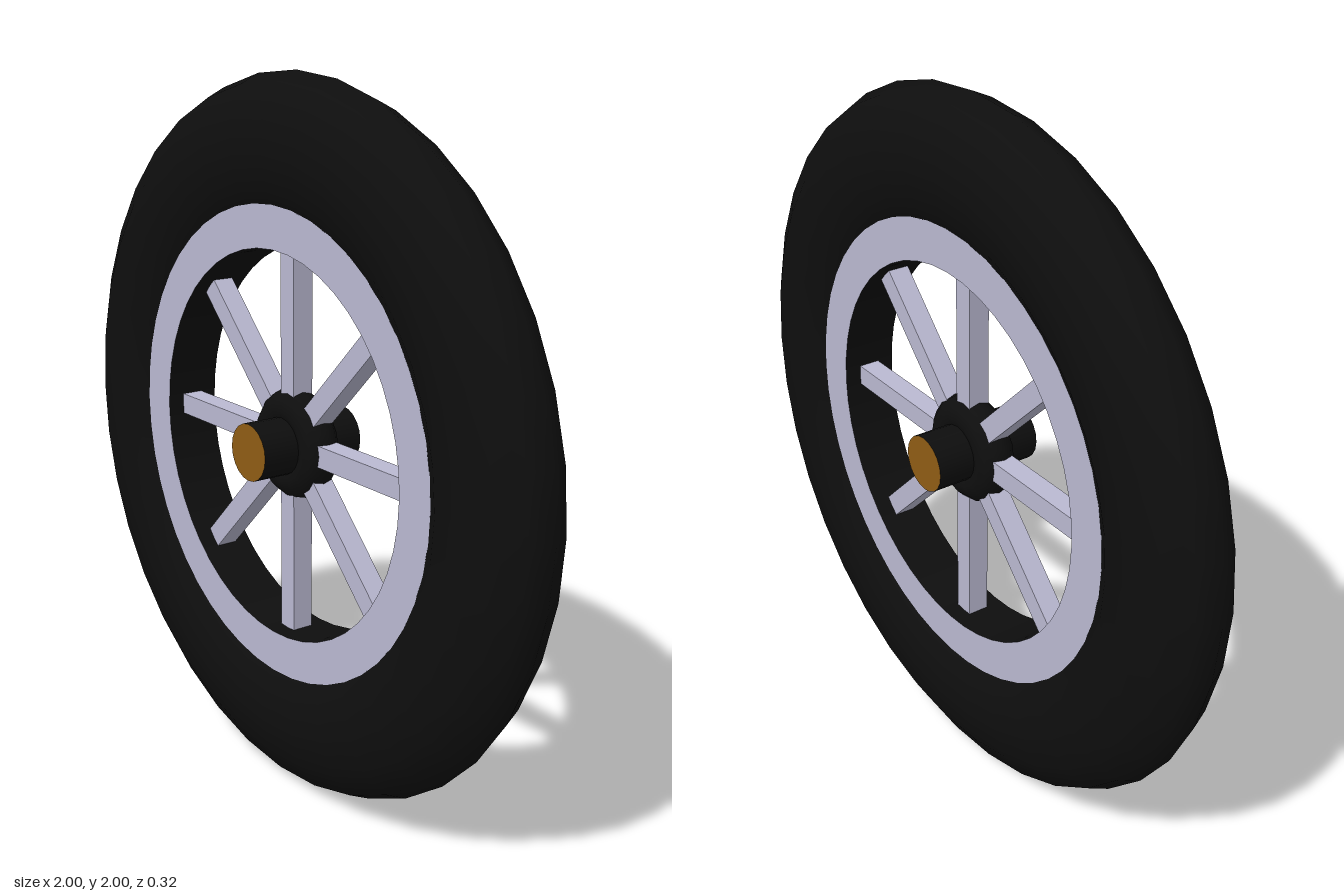
import * as THREE from 'three';

export function createModel() {
  const wheel = new THREE.Group();
  wheel.name = 'wheel';
  wheel.position.y = 1;

  const material = (name, color, side = THREE.FrontSide) => {
    const m = new THREE.MeshStandardMaterial({ color, side });
    m.name = name;
    return m;
  };
  const rubber = material('black rubber', 0x0e0e0e, THREE.DoubleSide);
  const metal = material('pale lilac metal', 0xbab9d1);
  const bronze = material('bronze', 0x8f5c14);

  const add = (name, geometry, mat) => {
    const mesh = new THREE.Mesh(geometry, mat);
    mesh.name = name;
    wheel.add(mesh);
    return mesh;
  };

  // Tyre: a torus flattened along the axle
  add('tyre', new THREE.TorusGeometry(0.8, 0.2, 12, 36).scale(1, 1, 0.59), rubber);

  // Rim: two flat faces joined by a dark inner wall
  const rimInner = 0.542, rimDepth = 0.08;
  for (const side of [1, -1]) {
    const face = new THREE.RingGeometry(rimInner, 0.66, 48);
    if (side < 0) face.rotateY(Math.PI);
    add(side > 0 ? 'frontRimFace' : 'backRimFace', face, metal).position.z = side * rimDepth;
  }
  add('rimInnerWall',
    new THREE.CylinderGeometry(rimInner, rimInner, rimDepth * 2, 48, 1, true).rotateX(Math.PI / 2),
    rubber);

  // Eight square spokes from the hub to the rim
  const spokeStart = 0.1, spokeLength = rimInner - spokeStart;
  const spoke = new THREE.BoxGeometry(0.06, spokeLength, 0.062)
    .translate(0, spokeStart + spokeLength / 2, 0);
  for (let i = 0; i < 8; i++) {
    add(`spoke${i + 1}`, spoke, metal).rotation.z = i * Math.PI / 4;
  }

  // Hub ring and the axle with bronze ends
  add('hub', new THREE.TorusGeometry(0.1, 0.056, 12, 16), rubber);
  add('axle', new THREE.CylinderGeometry(0.08, 0.08, 0.32, 20).rotateX(Math.PI / 2),
    [rubber, bronze, bronze]);

  const model = new THREE.Group();
  model.name = 'spokedWheel';
  model.add(wheel);
  return model;
}
